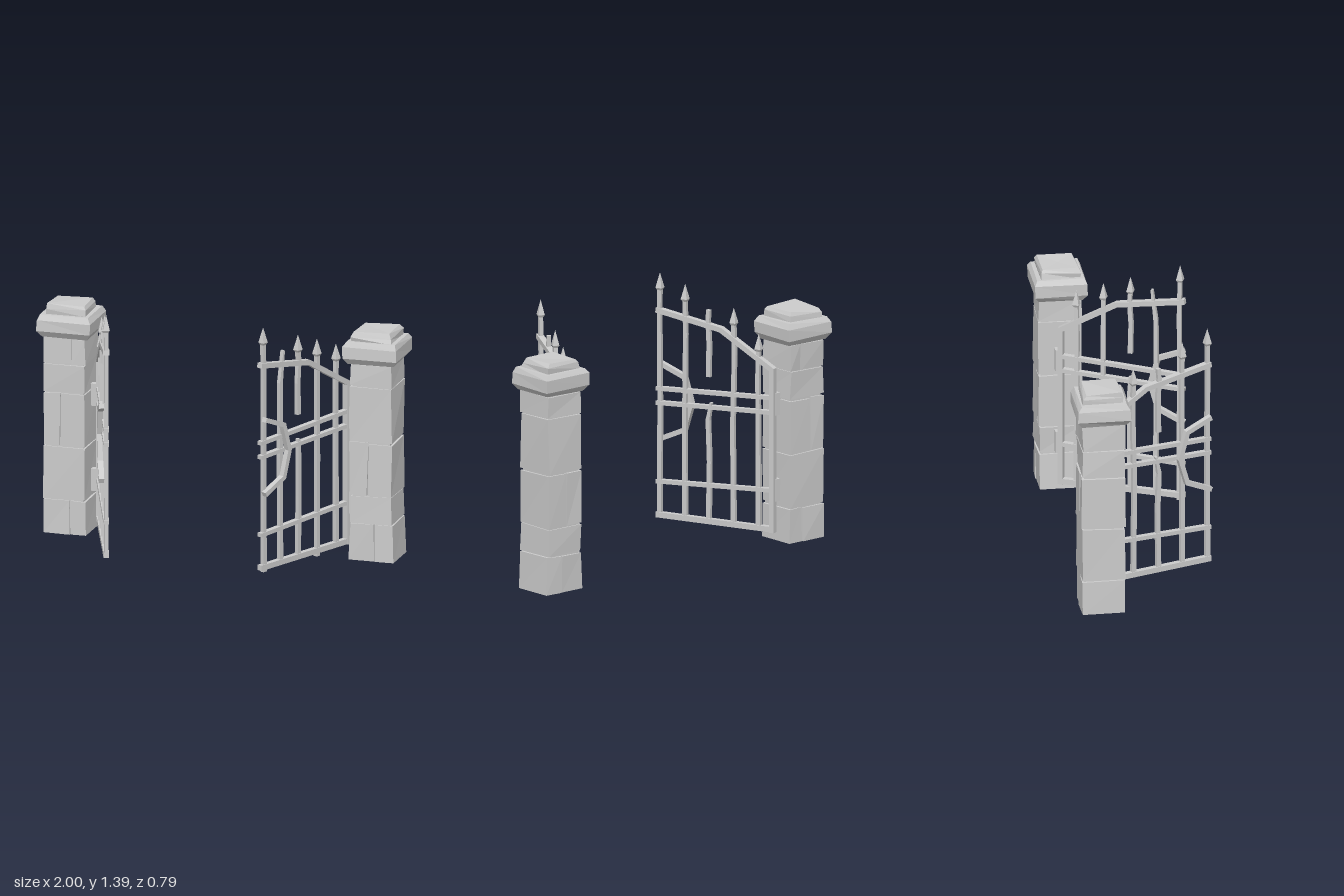
import * as THREE from 'three';

const stoneMat = new THREE.MeshStandardMaterial({ color: 0xcccccc, flatShading: true });
const ironMat = new THREE.MeshStandardMaterial({ color: 0xcccccc, flatShading: true });

function add(parent, name, geometry, material) {
  const mesh = new THREE.Mesh(geometry, material);
  mesh.name = name;
  parent.add(mesh);
  return mesh;
}

// Repeatable offset from a position, so shared corners stay together
function wobble(x, y, z, k) {
  const s = Math.sin(x * 127.1 + y * 311.7 + z * 74.7 + k * 53.3) * 43758.5;
  return s - Math.floor(s) - 0.5;
}

function roughen(geometry, amount, seed) {
  const p = geometry.attributes.position;
  for (let i = 0; i < p.count; i++) {
    const c = [p.getX(i), p.getY(i), p.getZ(i)].map((v) => Math.round(v * 1000) / 1000 + 0);
    p.setXYZ(i, ...c.map((v, k) => (v === 0 && k !== 1 ? v : v + amount * wobble(...c, k + seed))));
  }
  return geometry;
}

// Flat bar along a polyline of [x, y, width], mitred at the bends
function bar(points, depth) {
  const left = [], right = [];
  points.forEach(([x, y, w], i) => {
    const p = new THREE.Vector2(x, y);
    const prev = points[i - 1], next = points[i + 1];
    const a = prev ? p.clone().sub(new THREE.Vector2(prev[0], prev[1])).normalize() : null;
    const b = next ? new THREE.Vector2(next[0], next[1]).sub(p).normalize() : null;
    const t = (a || b).clone().add(b || a).normalize();
    const n = new THREE.Vector2(-t.y, t.x).multiplyScalar(w / 2 / t.dot(a || b));
    left.push(p.clone().add(n));
    right.unshift(p.clone().sub(n));
  });
  const geometry = new THREE.ExtrudeGeometry(new THREE.Shape([...left, ...right]), { depth, bevelEnabled: false });
  return geometry.translate(0, 0, -depth / 2);
}

// Four-sided stack of rings [y, half width]
function squareLathe(rings, stretch = 1) {
  const pts = rings.map(([y, h]) => new THREE.Vector2(h * Math.SQRT2, y));
  return new THREE.LatheGeometry(pts, 4).rotateY(Math.PI / 4).scale(stretch, 1, 1);
}

// Stone pillar: recessed core, courses of split stones, cap
function pillar(name, x, z, courses, splits, seed) {
  const g = new THREE.Group();
  g.name = name;
  g.position.set(x, 0, z);
  const hx = 0.114, hz = 0.114, gap = 0.004;
  add(g, 'pillarCore', new THREE.BoxGeometry(hx * 2 - 0.02, 1.08, hz * 2 - 0.02).translate(0, 0.545, 0), stoneMat);
  for (let i = 0; i < courses.length - 1; i++) {
    const y0 = courses[i] + (i ? gap : 0), y1 = courses[i + 1] - gap;
    const edges = [-hx, ...splits[i], hx];
    for (let j = 0; j < edges.length - 1; j++) {
      const x0 = edges[j] + (j ? gap : 0), x1 = edges[j + 1] - (j < edges.length - 2 ? gap : 0);
      const geo = new THREE.BoxGeometry(x1 - x0, y1 - y0, hz * 2);
      geo.translate((x0 + x1) / 2, (y0 + y1) / 2, 0);
      roughen(geo, 0.01, seed);
      const p = geo.attributes.position;
      // The lowest course spreads towards the ground
      if (i === 0) {
        for (let k = 0; k < p.count; k++) {
          if (p.getY(k) < 0.1) { p.setX(k, p.getX(k) * 1.07); p.setY(k, 0); }
        }
      }
      add(g, 'stone', geo, stoneMat);
    }
  }
  const cap = squareLathe([[1.083, 0], [1.083, 0.117], [1.115, 0.141], [1.178, 0.139], [1.206, 0.124], [1.206, 0]], 1.07);
  add(g, 'capSlab', roughen(cap, 0.007, seed), stoneMat);
  const top = squareLathe([[1.2, 0], [1.2, 0.108], [1.235, 0.106], [1.257, 0.093], [1.259, 0]], 1.03);
  add(g, 'capTop', roughen(top, 0.014, seed + 4), stoneMat);
  return g;
}

// Gate leaf: x runs from hinge to free end; out is the side facing away from the path
function gate(name, hinge, end, bars, out) {
  const g = new THREE.Group();
  g.name = name;
  const dx = end[0] - hinge[0], dz = end[1] - hinge[1], len = Math.hypot(dx, dz);
  g.position.set(hinge[0], 0, hinge[1]);
  g.rotation.y = -Math.atan2(dz, dx);

  // Hinge post running into the bent top rail
  const w = 0.028;
  add(g, 'postAndTopRail', bar([[0, 0.05, w], [0, 0.94, w], [0.31, 1.122, w], [len + 0.01, 1.185, w]], 0.034), ironMat);

  // Cross rails: height at hinge, height at free end, width
  for (const [a, b, t] of [[0.067, 0.067, 0.03], [0.28, 0.248, 0.022], [0.705, 0.677, 0.022], [0.785, 0.755, 0.022]]) {
    add(g, 'crossRail', bar([[0, a, t], [len + 0.01, b, t]], 0.03), ironMat);
  }

  // Upright bars, slightly bent, some broken
  bars.forEach(({ u, y0, y1, spike, lean = 0, tip = 0.022 }, i) => {
    const bend = (k) => 0.01 * wobble(u, i, out, k);
    const m = (y0 + y1) / 2;
    add(g, 'uprightBar', bar([
      [u, y0, 0.026], [u + bend(1), m, 0.024],
      [u + bend(2), y0 + (y1 - y0) * 0.85, 0.023], [u + lean, y1, tip],
    ], 0.022), ironMat);
    if (spike) {
      const head = squareLathe([[-0.005, 0], [-0.005, 0.009], [0.012, 0.018], [0.095, 0]]);
      add(g, 'spearhead', head, ironMat).position.set(u + lean, y1, 0);
    }
  });

  // Half ring fixed near the free end
  const r = 0.026;
  const ring = bar([[len, 0.888, r], [len - 0.145, 0.83, r], [len - 0.188, 0.683, r], [len - 0.145, 0.54, r], [len, 0.475, r]], 0.03);
  add(g, 'halfRing', ring.translate(0, 0, out * 0.024), ironMat);
  return g;
}

export function createModel() {
  const model = new THREE.Group();
  model.name = 'ruinedGateway';

  model.add(pillar('rightPillar', -0.848, -0.25, [0, 0.19, 0.485, 0.78, 0.935, 1.083],
    [[0.03], [], [-0.02], [], [0.04]], 1));
  model.add(pillar('leftPillar', 0.853, -0.247, [0, 0.204, 0.357, 0.653, 0.96, 1.083],
    [[0.02], [], [-0.015], [], []], 7));

  model.add(gate('rightGate', [-0.695, -0.265], [-0.455, 0.38], [
    { u: 0.68, y0: 0.055, y1: 1.295, spike: true },
    { u: 0.528, y0: 0.06, y1: 1.25, spike: true },
    { u: 0.385, y0: 0.855, y1: 1.22 },
    { u: 0.385, y0: 0.07, y1: 0.715, lean: -0.015, tip: 0.012 },
    { u: 0.235, y0: 0.06, y1: 1.155, spike: true },
    { u: 0.085, y0: 0.06, y1: 1.03, spike: true },
  ], 1));
  model.add(gate('leftGate', [0.682, -0.252], [0.397, 0.362], [
    { u: 0.655, y0: 0.04, y1: 1.295, spike: true, lean: 0.005 },
    { u: 0.525, y0: 0.06, y1: 1.23, lean: -0.02, tip: 0.012 },
    { u: 0.385, y0: 0.85, y1: 1.195, spike: true },
    { u: 0.385, y0: 0.08, y1: 0.715, tip: 0.014 },
    { u: 0.235, y0: 0.035, y1: 1.14, spike: true },
    { u: 0.085, y0: 0.06, y1: 1.08, spike: true },
  ], -1));

  // Hinge plates between pillars and gates
  for (const s of [-1, 1]) {
    for (const y of [0.28, 0.75]) {
      const plate = add(model, 'hingePlate', new THREE.BoxGeometry(0.045, 0.122, 0.035), ironMat);
      plate.position.set(s * 0.718, y, -0.262);
    }
  }
  return model;
}
